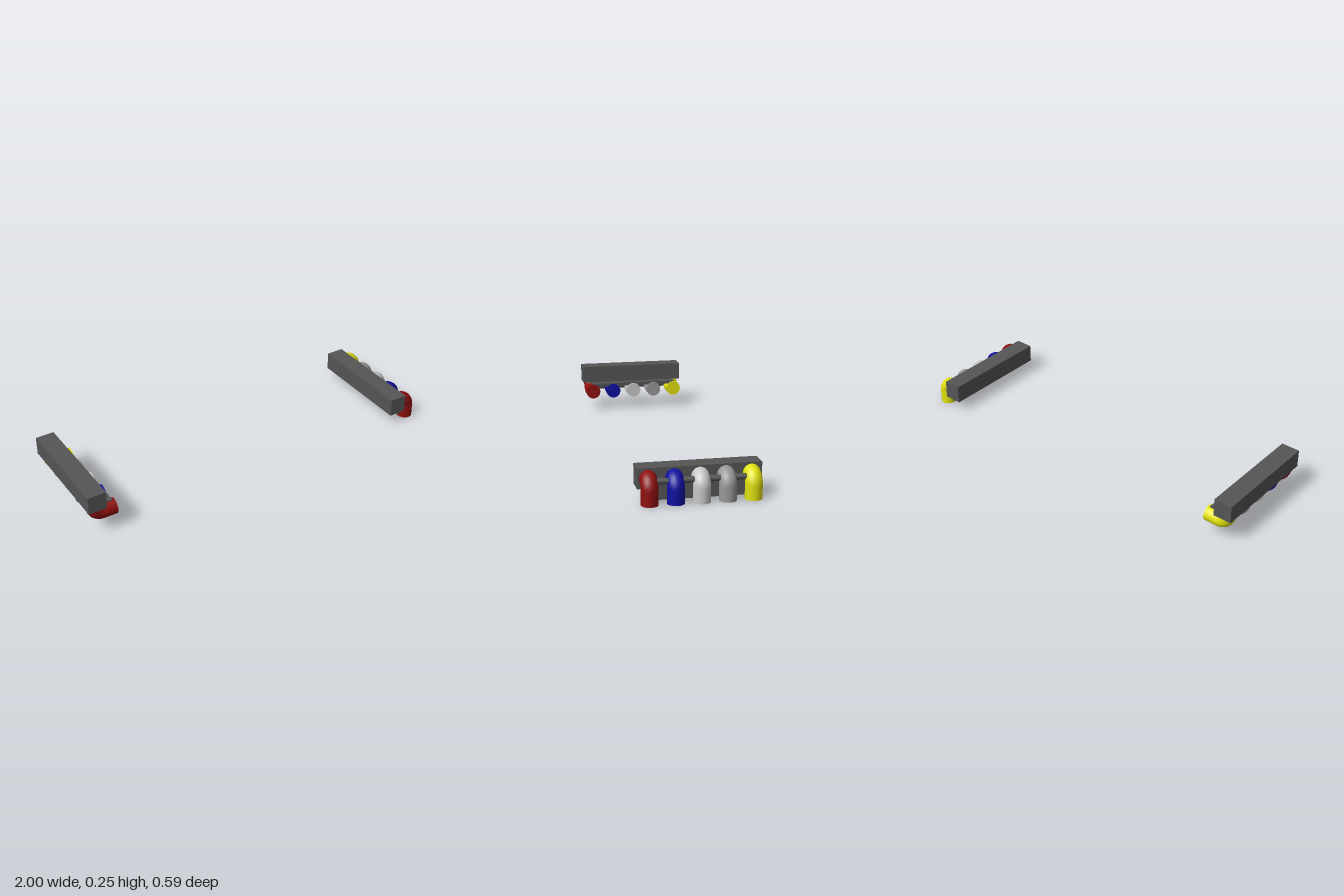
import * as THREE from 'three';

const mat = (name, color) => {
  const m = new THREE.MeshStandardMaterial({ color });
  m.name = name;
  return m;
};

const part = (parent, name, geometry, material, x, y, z) => {
  const mesh = new THREE.Mesh(geometry, material);
  mesh.name = name;
  mesh.position.set(x, y, z);
  parent.add(mesh);
  return mesh;
};

// Header block with five elbow pipes leaving its +x side and turning down
function pipeBank(name, colours, dark) {
  const bank = new THREE.Group();
  bank.name = name;
  const r = 0.041, bend = 0.044, px = 0.914, py = 0.068;

  part(bank, 'headerBlock', new THREE.BoxGeometry(0.095, 0.097, 0.586), dark, 0.8665, 0.1115, 0.003);

  // Backing plate hanging behind the pipe legs
  part(bank, 'backingPlate', new THREE.BoxGeometry(0.018, 0.1, 0.5), dark, 0.922, 0.062, 0.004);

  // Rod joining the pipes
  const rod = new THREE.CylinderGeometry(0.0143, 0.0143, 0.486, 16);
  rod.rotateX(Math.PI / 2);
  part(bank, 'joiningRod', rod, dark, 0.95, 0.106, 0.004);

  // Each pipe is a quarter bend on a straight leg
  const elbow = new THREE.TorusGeometry(bend, r, 20, 8, Math.PI / 2);
  const leg = new THREE.CylinderGeometry(r, r, py, 20);
  colours.forEach((material, i) => {
    const pipe = new THREE.Group();
    pipe.name = 'pipe' + (i + 1);
    pipe.position.z = 0.247 - i * 0.1215;
    part(pipe, 'pipeBend', elbow, material, px, py, 0);
    part(pipe, 'pipeLeg', leg, material, px + bend, py / 2, 0);
    bank.add(pipe);
  });
  return bank;
}

export function createModel() {
  const dark = mat('dark grey', 0x555555);
  const colours = [
    mat('red', 0x8f1010),
    mat('blue', 0x1010a0),
    mat('light grey', 0xc8c8c8),
    mat('mid grey', 0x989898),
    mat('yellow', 0xe0e010),
  ];

  const model = new THREE.Group();
  model.name = 'pipeBanks';
  model.add(pipeBank('leftPipeBank', colours, dark));

  // Opposite bank is turned over about a diagonal, keeping the colour order along z
  const right = pipeBank('rightPipeBank', [...colours].reverse(), dark);
  right.quaternion.setFromAxisAngle(new THREE.Vector3(1, -1, 0).normalize(), Math.PI);
  right.position.set(-0.843, 1.066, 0);
  model.add(right);
  return model;
}
